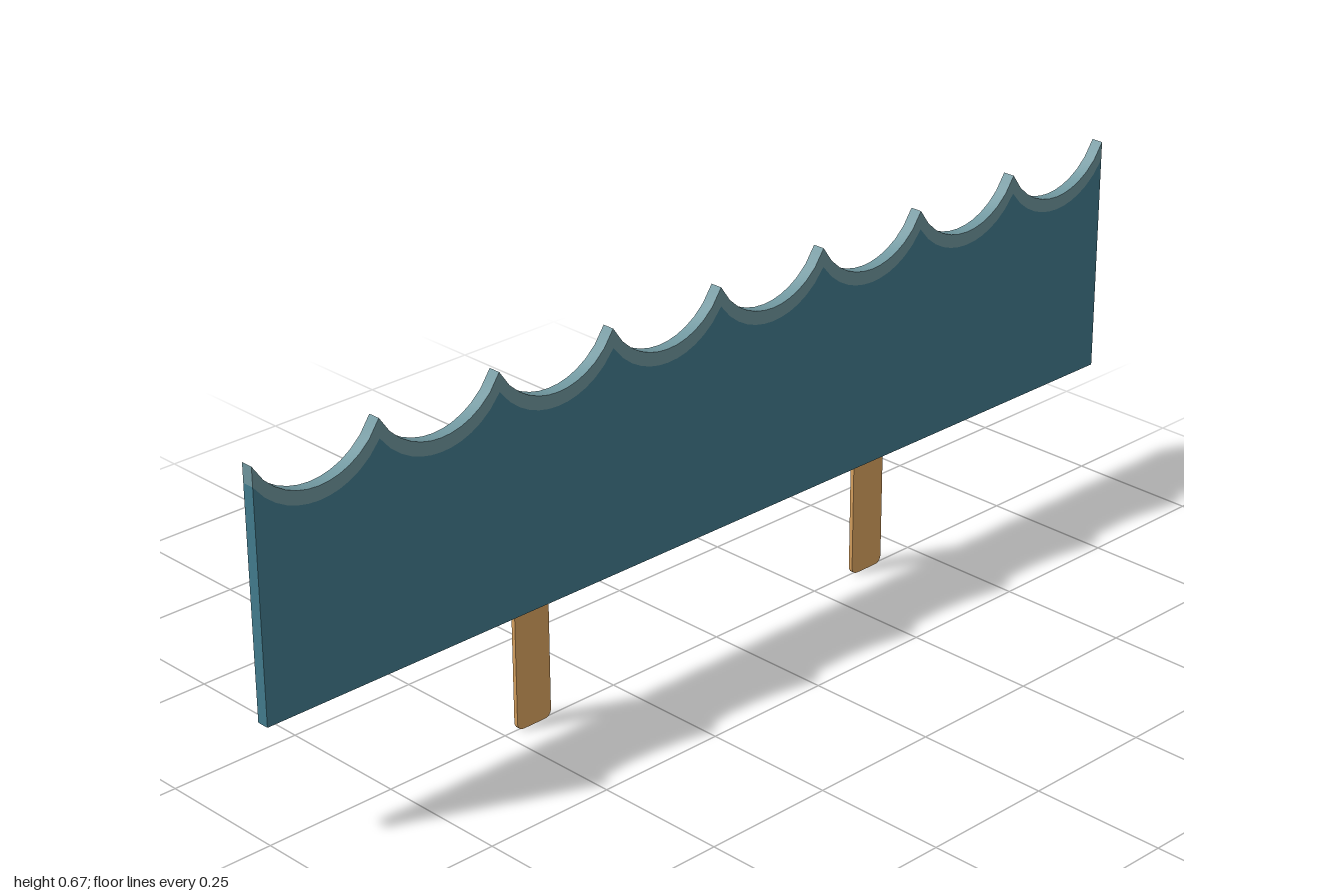
import * as THREE from 'three';
import { toCreasedNormals } from 'three/addons/utils/BufferGeometryUtils.js';

const WAVES = 8, PITCH = 2 / WAVES, DEPTH = 0.023;

// Scalloped edge: a row of circular dips between sharp peaks, left to right
function scallops(peak, trough, steps = 12) {
  const half = PITCH / 2, sag = peak - trough;
  const radius = (half * half + sag * sag) / (2 * sag);
  const points = [];
  for (let i = 0; i <= WAVES * steps; i++) {
    const dx = ((i % steps) / steps) * PITCH - half;
    const y = trough + radius - Math.sqrt(radius * radius - dx * dx);
    points.push(new THREE.Vector2(-1 + (i / steps) * PITCH, y));
  }
  return points;
}

// Flat board centred on z = 0
function board(name, shape, depth, color) {
  const flat = new THREE.ExtrudeGeometry(shape, { depth, bevelEnabled: false, curveSegments: 6 });
  flat.translate(0, 0, -depth / 2);
  const mesh = new THREE.Mesh(toCreasedNormals(flat, 0.6), new THREE.MeshStandardMaterial({ color }));
  mesh.name = name;
  return mesh;
}

// Stick with rounded lower corners
function stickShape(width, top, r) {
  const w = width / 2, s = new THREE.Shape();
  s.moveTo(w, top);
  s.lineTo(-w, top);
  s.lineTo(-w, r);
  s.quadraticCurveTo(-w, 0, -w + r, 0);
  s.lineTo(w - r, 0);
  s.quadraticCurveTo(w, 0, w, r);
  s.closePath();
  return s;
}

export function createModel() {
  const group = new THREE.Group();
  group.name = 'waveCutout';
  const crest = scallops(0.673, 0.598);
  const seam = scallops(0.638, 0.573);

  // Water panel and the pale foam strip along its top
  const water = new THREE.Shape([new THREE.Vector2(-1, 0.22), new THREE.Vector2(1, 0.22), ...seam.slice().reverse()]);
  const foam = new THREE.Shape([...seam, ...crest.slice().reverse()]);
  group.add(board('waterPanel', water, DEPTH, 0x437c8e));
  group.add(board('foamEdge', foam, DEPTH, 0x70979f));

  // Two wooden sticks set into the panel
  for (const [name, x] of [['rightStick', -0.437], ['leftStick', 0.383]]) {
    const stick = board(name, stickShape(0.076, 0.3, 0.016), 0.008, 0xdda561);
    stick.position.x = x;
    group.add(stick);
  }
  return group;
}
